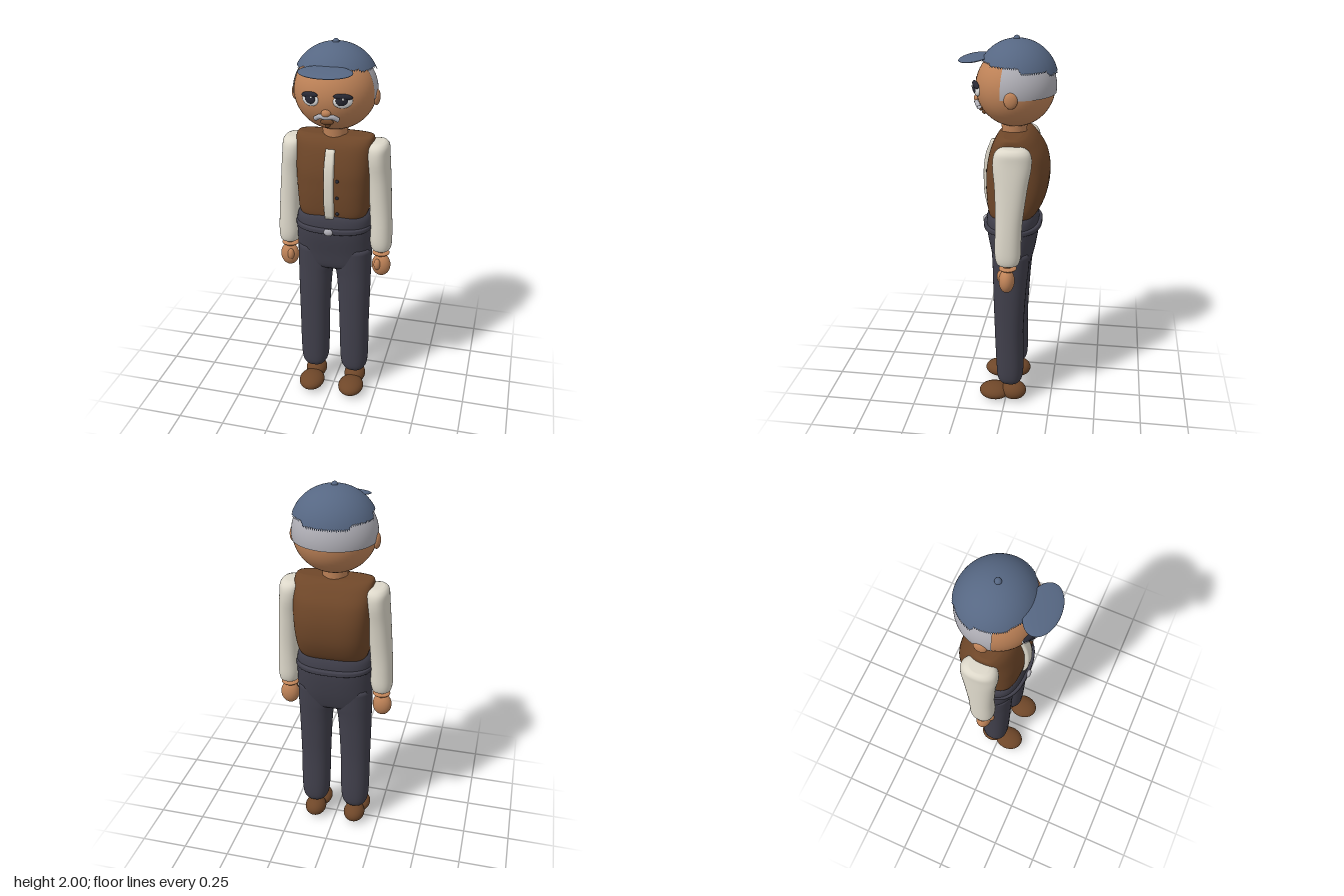
import * as THREE from 'three';

const mat = (name, color, side = THREE.FrontSide) => {
  const m = new THREE.MeshStandardMaterial({ color, side });
  m.name = name;
  return m;
};

// Monotone cubic interpolation of cross-section rows
function refine(rows, steps) {
  const n = rows.length, out = [];
  const slope = (i, k) => {
    if (i === 0) return rows[1][k] - rows[0][k];
    if (i === n - 1) return rows[i][k] - rows[i - 1][k];
    const a = rows[i][k] - rows[i - 1][k], b = rows[i + 1][k] - rows[i][k];
    if (a * b <= 0) return 0;
    return Math.sign(a) * Math.min(Math.abs(a + b) / 2, 3 * Math.abs(a), 3 * Math.abs(b));
  };
  for (let i = 0; i < n - 1; i++) {
    for (let s = 0; s < steps; s++) {
      const t = s / steps, t2 = t * t, t3 = t2 * t;
      out.push(rows[i].map((p, k) => (2 * t3 - 3 * t2 + 1) * p + (t3 - 2 * t2 + t) * slope(i, k)
        + (3 * t2 - 2 * t3) * rows[i + 1][k] + (t3 - t2) * slope(i + 1, k)));
    }
  }
  out.push(rows[n - 1]);
  return out;
}

// Closed body through superellipse sections, rows rising: [y, xCentre, xRadius, zCentre, zRadius]
function loft(rows, power = 2, steps = 4, seg = 40) {
  const fine = refine(rows, steps), pos = [], idx = [];
  const first = fine[0], last = fine[fine.length - 1];
  const end = (r) => [r[0], r[1], 0.0001, r[3], 0.0001];
  const all = [end(first), ...fine, end(last)];
  const pw = (v) => Math.sign(v) * Math.abs(v) ** (2 / power);
  all.forEach(([y, xc, rx, zc, rz], i) => {
    for (let j = 0; j < seg; j++) {
      const a = j / seg * Math.PI * 2;
      pos.push(xc + rx * pw(Math.cos(a)), y, zc + rz * pw(Math.sin(a)));
      if (i === all.length - 1) continue;
      const p = i * seg + j, q = i * seg + (j + 1) % seg;
      idx.push(p, p + seg, q, q, p + seg, q + seg);
    }
  });
  const g = new THREE.BufferGeometry();
  g.setAttribute('position', new THREE.Float32BufferAttribute(pos, 3));
  g.setIndex(idx);
  g.computeVertexNormals();
  return g;
}

// Front and back depth to centre and radius
const row = (y, rx, front, back) => [y, 0, rx, (front + back) / 2, (front - back) / 2];

export function createModel() {
  const model = new THREE.Group();
  model.name = 'standingMan';
  const skin = mat('skin', 0xbf8358), capBlue = mat('capBlue', 0x566783, THREE.DoubleSide);
  const brown = mat('leatherBrown', 0x6f4729), navy = mat('trouserNavy', 0x41404c);
  const cream = mat('shirtCream', 0xddd8ca), grey = mat('hairGrey', 0xb0afb6, THREE.DoubleSide);
  const dark = mat('darkEye', 0x272833), white = mat('eyeWhite', 0xe6e6e6);

  const add = (name, geo, material) => {
    const m = new THREE.Mesh(geo, material);
    m.name = name;
    model.add(m);
    return m;
  };
  const ball = (name, material, [x, y, z], [rx, ry, rz], seg = 28) => {
    const m = add(name, new THREE.SphereGeometry(1, seg, Math.ceil(seg * 0.7)), material);
    m.position.set(x, y, z);
    m.scale.set(rx, ry, rz);
    return m;
  };

  // Head and neck
  ball('head', skin, [0, 1.755, -0.035], [0.205, 0.195, 0.195], 48);
  add('neck', new THREE.CylinderGeometry(0.068, 0.06, 0.1, 32), skin).position.set(0, 1.555, -0.03);

  // Hair wrapped around the back half of the head
  const hair = add('hair', new THREE.SphereGeometry(1, 40, 16, Math.PI - 0.25, Math.PI + 0.5, 0.8, 0.9), grey);
  hair.position.set(0, 1.755, -0.035);
  hair.scale.set(0.209, 0.2, 0.202);

  // Cap crown, its rim stepping down towards the back
  const crown = new THREE.SphereGeometry(1, 128, 20);
  const P = crown.attributes.position, U = crown.attributes.uv;
  const step = (a, e) => THREE.MathUtils.smoothstep(a, e - 0.05, e + 0.05);
  for (let i = 0; i < P.count; i++) {
    const az = U.getX(i) * Math.PI * 2;
    const fromFront = Math.acos(THREE.MathUtils.clamp(Math.cos(az), -1, 1));
    const rim = 1.88 - 0.01 * step(fromFront, 0.87) - 0.025 * step(fromFront, 1.75) - 0.02 * step(fromFront, 2.55);
    const th = (1 - U.getY(i)) * Math.acos((rim - 1.785) / 0.2);
    P.setXYZ(i, 0.212 * Math.sin(th) * Math.sin(az), 1.785 + 0.2 * Math.cos(th), -0.043 + 0.2 * Math.sin(th) * Math.cos(az));
  }
  crown.computeVertexNormals();
  add('capCrown', crown, capBlue);
  ball('capButton', capBlue, [0, 1.985, -0.04], [0.016, 0.015, 0.016], 20);
  ball('capBrim', capBlue, [0, 1.889, 0.165], [0.131, 0.011, 0.079], 40).rotation.x = 0.13;

  // Nose, moustache and mouth
  ball('nose', skin, [0, 1.69, 0.155], [0.024, 0.019, 0.018]);
  const arch = [[-0.056, 1.657, 0.137], [-0.03, 1.673, 0.152], [0, 1.672, 0.159], [0.03, 1.673, 0.152], [0.056, 1.657, 0.137]];
  const path = new THREE.CatmullRomCurve3(arch.map((p) => new THREE.Vector3(...p)));
  add('moustache', new THREE.TubeGeometry(path, 30, 0.012, 12), grey);
  ball('mouth', brown, [0, 1.642, 0.136], [0.033, 0.014, 0.012]);
  ball('chinTuft', brown, [0, 1.622, 0.121], [0.014, 0.012, 0.012]);

  // Vest
  add('vest', loft([
    row(1.09, 0.155, 0.075, -0.115), row(1.13, 0.18, 0.095, -0.16), row(1.22, 0.19, 0.104, -0.2),
    row(1.32, 0.196, 0.104, -0.212), row(1.42, 0.198, 0.09, -0.195), row(1.49, 0.198, 0.067, -0.15),
    row(1.525, 0.196, 0.038, -0.112), row(1.537, 0.18, 0.01, -0.08),
  ], 3.2, 5, 64), brown);
  add('shirtPlacket', loft([
    [1.115, 0, 0.023, 0.085, 0.022], [1.2, 0, 0.025, 0.1, 0.024], [1.3, 0, 0.025, 0.103, 0.024],
    [1.4, 0, 0.025, 0.093, 0.024], [1.48, 0, 0.023, 0.066, 0.022],
  ], 5), cream);
  for (const y of [1.325, 1.235, 1.145]) ball('vestButton', dark, [0.042, y, y < 1.2 ? 0.099 : 0.104], [0.009, 0.009, 0.007], 16);

  // Trouser hips, belt and buckle
  add('trouserHips', loft([
    row(0.795, 0.197, 0.05, -0.105), row(0.82, 0.198, 0.068, -0.12), row(0.9, 0.199, 0.083, -0.142),
    row(1.0, 0.2, 0.103, -0.158), row(1.06, 0.199, 0.107, -0.16), row(1.1, 0.192, 0.104, -0.155),
    row(1.125, 0.17, 0.095, -0.145), row(1.135, 0.15, 0.08, -0.13),
  ], 2.5, 4, 56), navy);
  add('belt', loft([
    row(1.03, 0.195, 0.115, -0.168), row(1.037, 0.203, 0.123, -0.177),
    row(1.053, 0.203, 0.123, -0.177), row(1.06, 0.195, 0.115, -0.168),
  ], 2.5, 3, 56), navy);
  ball('beltBuckle', grey, [0, 1.045, 0.122], [0.024, 0.019, 0.012]);

  // Mirrored parts
  for (const s of [-1, 1]) {
    ball('ear', skin, [s * 0.204, 1.73, -0.037], [0.018, 0.04, 0.033]);

    // Eye layers and brow
    const turn = s * 0.4;
    ball('eyeWhite', white, [s * 0.079, 1.752, 0.143], [0.047, 0.034, 0.014]).rotation.y = turn;
    ball('iris', dark, [s * 0.077, 1.757, 0.153], [0.03, 0.025, 0.012]).rotation.y = turn;
    ball('eyeGlint', white, [s * 0.077 + 0.008, 1.767, 0.164], [0.006, 0.006, 0.004], 12);
    const lash = ball('upperLash', dark, [s * 0.081, 1.774, 0.148], [0.047, 0.015, 0.014]);
    lash.rotation.set(0, turn, -s * 0.12);

    // Sleeve
    add('sleeve', loft([
      [0.905, s * 0.25, 0.035, -0.03, 0.04], [0.92, s * 0.25, 0.051, -0.03, 0.058],
      [0.98, s * 0.248, 0.058, -0.03, 0.066], [1.1, s * 0.245, 0.056, -0.033, 0.066],
      [1.3, s * 0.23, 0.058, -0.042, 0.08], [1.42, s * 0.218, 0.06, -0.046, 0.095],
      [1.47, s * 0.215, 0.06, -0.047, 0.09], [1.495, s * 0.213, 0.052, -0.047, 0.072],
      [1.505, s * 0.213, 0.035, -0.047, 0.045],
    ], 2.2), cream);

    // Wrist and hand
    ball('wristBand', skin, [s * 0.25, 0.885, -0.03], [0.046, 0.012, 0.045]);
    ball('wrist', skin, [s * 0.251, 0.885, -0.028], [0.025, 0.04, 0.025]);
    ball('hand', skin, [s * 0.254, 0.815, -0.025], [0.05, 0.063, 0.04]);
    ball('thumb', skin, [s * 0.238, 0.83, 0.01], [0.018, 0.032, 0.018]);

    // Trouser leg
    add('trouserLeg', loft([
      [0.118, s * 0.115, 0.035, -0.025, 0.035], [0.135, s * 0.115, 0.06, -0.025, 0.06],
      [0.2, s * 0.114, 0.077, -0.025, 0.073], [0.45, s * 0.112, 0.081, -0.019, 0.077],
      [0.65, s * 0.109, 0.087, -0.021, 0.085], [0.75, s * 0.105, 0.092, -0.024, 0.09],
      [0.81, s * 0.1, 0.099, -0.026, 0.094], [0.92, s * 0.1, 0.098, -0.028, 0.1],
    ], 2.3), navy);

    // Shoe
    ball('shoeToe', brown, [s * 0.115, 0.047, 0.062], [0.071, 0.044, 0.085]);
    ball('shoeHeel', brown, [s * 0.115, 0.058, -0.045], [0.06, 0.052, 0.07]);
  }
  return model;
}
